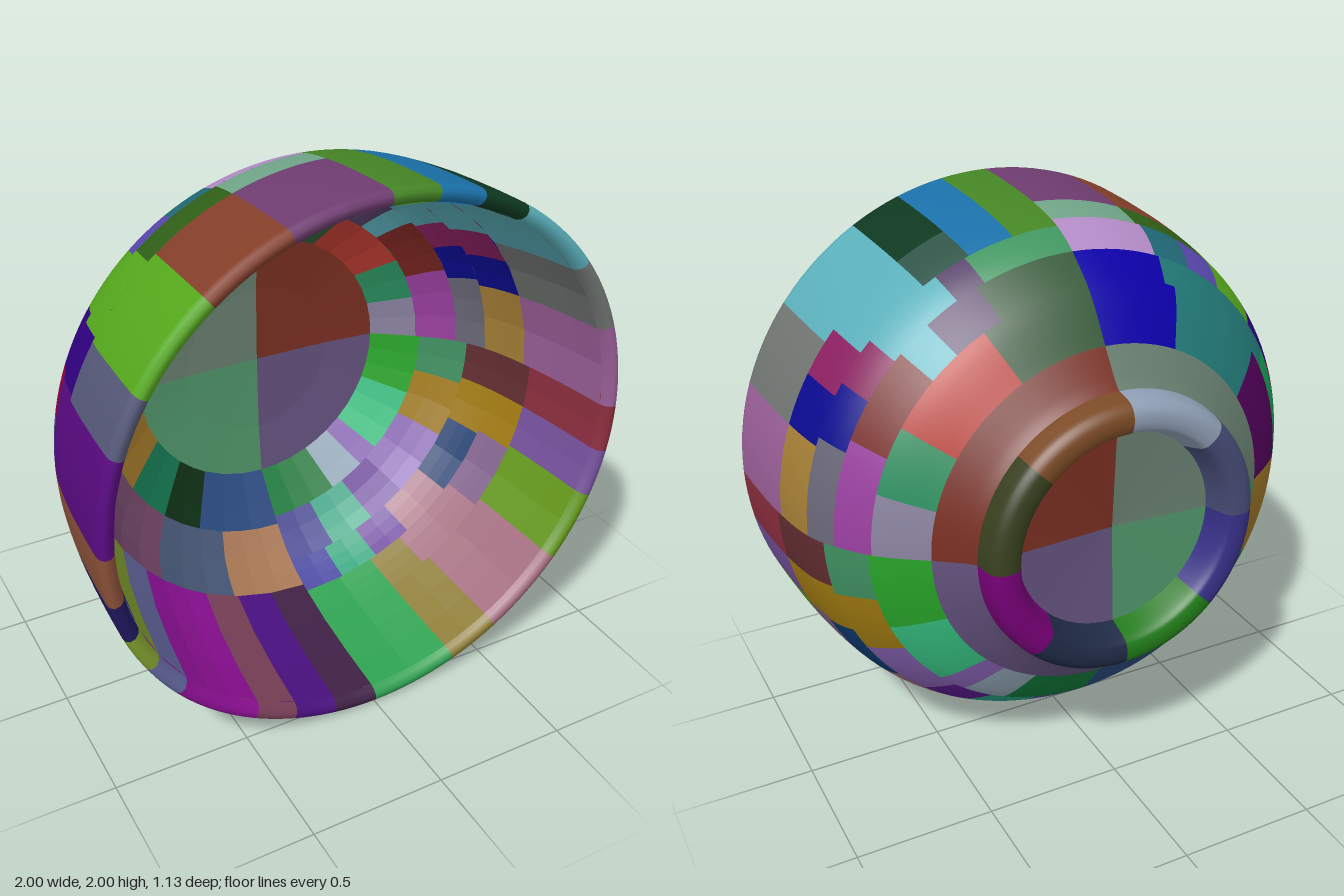
import * as THREE from 'three';

const V = (p) => p.map(([r, z]) => new THREE.Vector2(r, z));
const smooth = (p) => new THREE.SplineCurve(V(p)).getPoints(80);

// Bowl wall sections as [radius, z], back to front
const OUTER = smooth([[0.63, -0.37], [0.77, -0.27], [0.865, -0.16], [0.92, -0.07], [0.955, 0.04], [0.982, 0.22], [0.995, 0.4], [1, 0.53]]);
const INNER = smooth([[0.48, -0.37], [0.67, -0.23], [0.77, -0.13], [0.84, 0], [0.885, 0.16], [0.92, 0.36], [0.94, 0.53]]);

function radiusAt(curve, z) {
  for (let i = 1; i < curve.length; i++) {
    const a = curve[i - 1], b = curve[i];
    if (z <= b.y) return a.x + (b.x - a.x) * Math.max(0, (z - a.y) / (b.y - a.y));
  }
  return curve[curve.length - 1].x;
}

// Slice of the wall section between two depths
function slice(curve, from, to, steps) {
  return Array.from({ length: steps + 1 }, (_, i) => {
    const z = from + (to - from) * i / steps;
    return new THREE.Vector2(radiusAt(curve, z), z);
  });
}

// Turned sector about the z axis; angles in degrees from +x
function sector(group, name, profile, a0, a1, color, faceted = false) {
  const rad = Math.PI / 180, span = a1 - a0;
  const geo = new THREE.LatheGeometry(profile, Math.ceil(span / (faceted ? 10 : 3)), (a0 + 90) * rad, span * rad);
  geo.rotateX(Math.PI / 2);
  const mat = new THREE.MeshStandardMaterial({ color, flatShading: faceted, side: THREE.DoubleSide });
  const mesh = new THREE.Mesh(geo, mat);
  mesh.name = name;
  group.add(mesh);
}

// Quadrant angle -> full-circle angle
const QUADRANTS = {
  upperLeft: (a) => a, upperRight: (a) => 180 - a,
  lowerRight: (a) => 180 + a, lowerLeft: (a) => 360 - a,
};

// Each ring: [front z, back z, [end angle, color, ...]], angles from the horizontal
const RINGS = {
  upperLeft: [
    [0.53, 0.15, [20, 0x9a5f98, 38, 0x707572, 59, 0x5aafba, 70, 0x0f3820, 80, 0x1a70a8, 90, 0x458525]],
    [0.15, -0.03, [20, 0xa57f35, 31, 0x0a0a90, 41, 0x8a1f60, 59, 0x5aafba, 70, 0x2f5548, 80, 0x1a70a8, 90, 0x458525]],
    [-0.03, -0.14, [22, 0x6a6878, 34, 0x0a0a90, 44, 0x8a1f60, 62, 0x5aafba, 69, 0x573f68, 90, 0x3f9560]],
    [-0.14, -0.25, [25, 0x9a40a0, 46, 0x7a2520, 54, 0x5aafba, 67, 0x573f68, 90, 0x355a38]],
    [-0.25, -0.37, [16, 0x8a84a0, 33, 0x2a9060, 62, 0xba3a30, 90, 0x355a38]],
  ],
  upperRight: [
    [0.53, 0.15, [20, 0x580a80, 32, 0x555878, 52, 0x55a81c, 70, 0x843f2a, 90, 0x6e3c70]],
    [0.15, 0.01, [21, 0x580a80, 33, 0x300080, 50, 0x55a81c, 70, 0x2f6018, 90, 0x70a588]],
    [0.01, -0.14, [12, 0x4a5090, 22, 0x8f0040, 35, 0x300080, 49, 0x55a81c, 59, 0x5a48b0, 69, 0x206a78, 90, 0xb48cc8]],
    [-0.14, -0.23, [27, 0x18a055, 68, 0x227a78, 90, 0x0c00a8]],
    [-0.23, -0.37, [33, 0x52005a, 65, 0x227a78, 90, 0x0c00a8]],
  ],
  lowerRight: [
    [0.53, 0, [11, 0x8a5038, 20, 0x201860, 29, 0x82a030, 39, 0x6468a0, 60, 0x901098, 70, 0x7a4058, 80, 0x4a1080, 90, 0x3f2045]],
    [0, -0.22, [20, 0xb03868, 45, 0x75486a, 69, 0x485878, 90, 0xa87855]],
    [-0.22, -0.37, [28, 0xa07828, 45, 0x147850, 60, 0x0f3015, 90, 0x2a4a80]],
  ],
  lowerLeft: [
    [0.53, 0.18, [11, 0x8a2d3d, 22, 0x74509a, 38, 0x629618, 58, 0xa06a7c, 70, 0x8a7a30, 90, 0x2da050]],
    [0.18, 0.03, [11, 0x602c30, 23, 0xa07a10, 40, 0x80608a, 60, 0xa06a7c, 70, 0x8a7a30, 90, 0x2da050]],
    [0.03, -0.1, [11, 0x602c30, 24, 0xa07a10, 42, 0x0c3a70, 57, 0xa06a7c, 68, 0x5a1a90, 79, 0x1fa078, 90, 0x4a48a0]],
    [-0.1, -0.24, [13, 0x3f8f60, 30, 0xa07a10, 50, 0x8560b0, 62, 0x5a1a90, 76, 0x25a080, 90, 0x4a4a95]],
    [-0.24, -0.37, [22, 0x28a528, 45, 0x35c080, 53, 0x8560b0, 66, 0x90a5b5, 90, 0x0e7a38]],
  ],
};

const BASE_COLORS = { upperLeft: 0x7a2f22, upperRight: 0x687f70, lowerRight: 0x4f9468, lowerLeft: 0x64527e };
const FOOT_COLORS = [0x38401f, 0x7a4a25, 0x8f9fb5, 0x454b75, 0x352e85, 0x207a18, 0x1f2a45, 0x780078];

export function createModel() {
  const model = new THREE.Group();
  model.name = 'patchworkBowl';
  const lip = V([[1, 0.53], [0.997, 0.55], [0.985, 0.565], [0.965, 0.565], [0.948, 0.55], [0.94, 0.53]]);

  for (const [name, turn] of Object.entries(QUADRANTS)) {
    const quadrant = new THREE.Group();
    quadrant.name = name + 'Quarter';
    model.add(quadrant);
    const add = (part, profile, a, b, color, faceted) =>
      sector(quadrant, part, profile, Math.min(turn(a), turn(b)), Math.max(turn(a), turn(b)), color, faceted);

    // Wall patches, with a rounded lip on the front ring
    for (const [front, back, cells] of RINGS[name]) {
      let start = 0;
      for (let i = 0; i < cells.length; i += 2) {
        const end = cells[i], color = cells[i + 1];
        add('outerPatch', slice(OUTER, back, front, 10), start, end, color);
        add('innerPatch', slice(INNER, front, back, 3), start, end, color, true);
        if (front === 0.53) add('lip', lip, start, end, color);
        start = end;
      }
    }

    // Floor, collar and underside of the bowl
    const color = BASE_COLORS[name];
    add('floor', V([[0.52, -0.355], [0.3, -0.375], [0, -0.38]]), 0, 90, color, true);
    add('collar', smooth([[0.505, -0.47], [0.54, -0.435], [0.63, -0.37]]), 0, 90, color);
    add('underside', V([[0, -0.44], [0.37, -0.46]]), 0, 90, color, true);
  }

  // Foot ring in eight pieces
  const foot = new THREE.Group();
  foot.name = 'footRing';
  model.add(foot);
  const footProfile = smooth([[0.36, -0.45], [0.39, -0.54], [0.42, -0.565], [0.465, -0.565], [0.495, -0.54], [0.505, -0.5], [0.51, -0.46]]);
  FOOT_COLORS.forEach((color, i) => sector(foot, 'footPiece', footProfile, i * 45, i * 45 + 45, color));

  model.children.forEach((part) => { part.position.y = 1; });
  return model;
}
